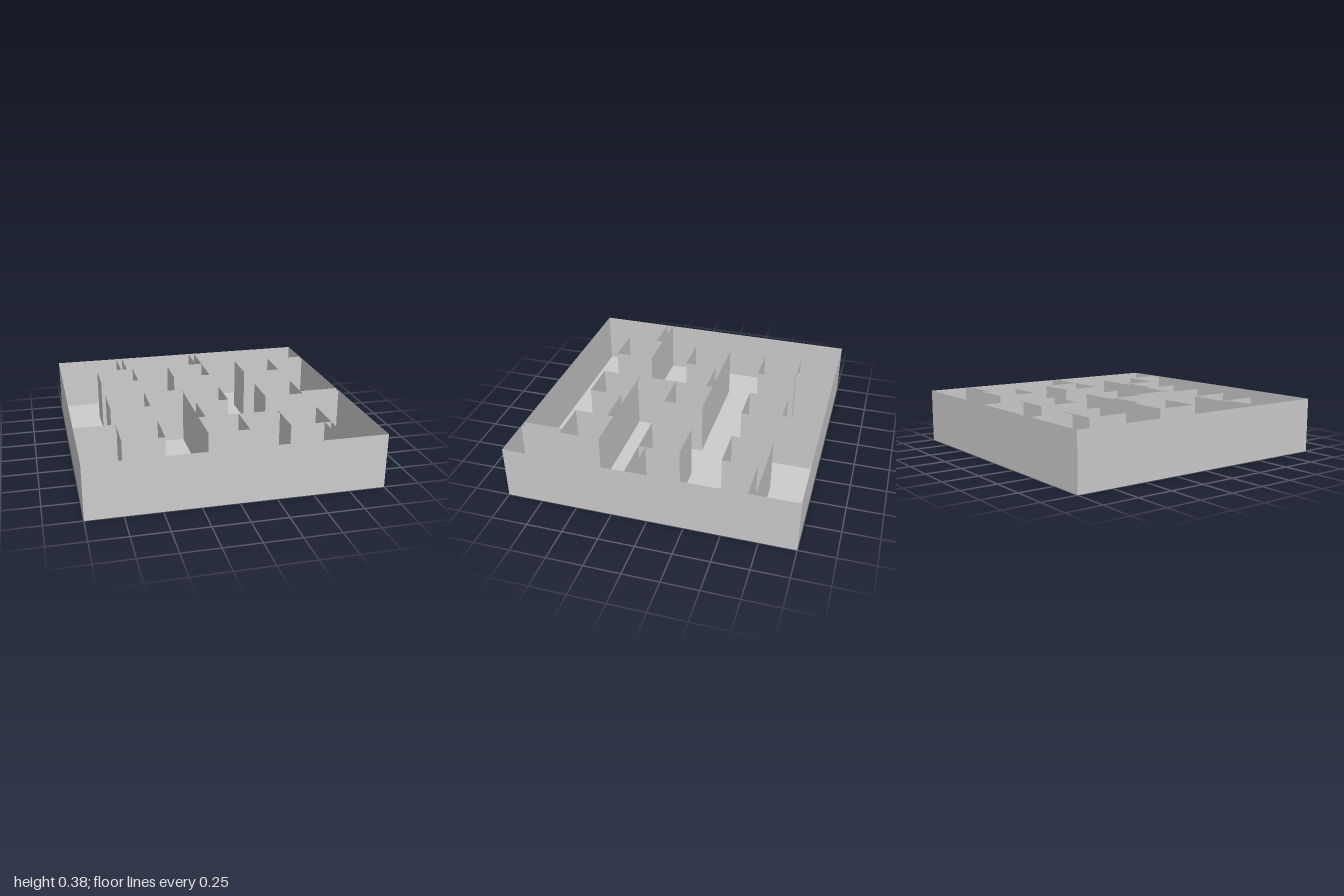
import * as THREE from 'three';

const HEIGHT = 0.385;
const CELL = 2 / 7;      // the tray is a 7 x 7 grid of cells
const THIN = CELL / 6;   // thickness of the connecting walls

const grey = new THREE.MeshStandardMaterial({ color: 0xcccccc, side: THREE.DoubleSide });
grey.name = 'light grey';

const line = (i) => -1 + i * CELL;

// Four upright panels around a rectangle, open above and below
function openBox(name, x0, x1, z0, z1) {
  const geometry = new THREE.BoxGeometry(x1 - x0, HEIGHT, z1 - z0);
  const index = Array.from(geometry.index.array);
  geometry.setIndex([...index.slice(0, 12), ...index.slice(24, 36)]);
  geometry.clearGroups();
  const mesh = new THREE.Mesh(geometry, grey);
  mesh.name = name;
  mesh.position.set((x0 + x1) / 2, HEIGHT / 2, (z0 + z1) / 2);
  return mesh;
}

export function createModel() {
  const model = new THREE.Group();
  model.name = 'mazeTray';

  // Floor and outer wall
  const floor = new THREE.Mesh(new THREE.PlaneGeometry(2, 2).rotateX(-Math.PI / 2), grey);
  floor.name = 'floor';
  model.add(floor, openBox('outerWall', -1, 1, -1, 1));

  // Hollow square pillars on every second cell
  const pillars = new THREE.Group();
  pillars.name = 'pillars';
  for (const i of [1, 3, 5]) {
    for (const j of [1, 3, 5]) {
      pillars.add(openBox('pillar', line(i), line(i + 1), line(j), line(j + 1)));
    }
  }
  model.add(pillars);

  // Thin walls, each crossing one cell: [column, row, axis, offset in thicknesses]
  const links = [
    [1, 0, 'z', 4], [3, 0, 'z', 5], [6, 1, 'x', 0],
    [2, 3, 'x', 0], [3, 4, 'z', 0], [6, 3, 'x', 5],
    [0, 5, 'x', 0], [4, 5, 'x', 0], [5, 6, 'z', 5],
  ];
  const walls = new THREE.Group();
  walls.name = 'connectingWalls';
  for (const [i, j, axis, offset] of links) {
    const x = line(i), z = line(j), o = offset * THIN;
    walls.add(axis === 'x'
      ? openBox('connectingWall', x, x + CELL, z + o, z + o + THIN)
      : openBox('connectingWall', x + o, x + o + THIN, z, z + CELL));
  }
  model.add(walls);

  return model;
}
